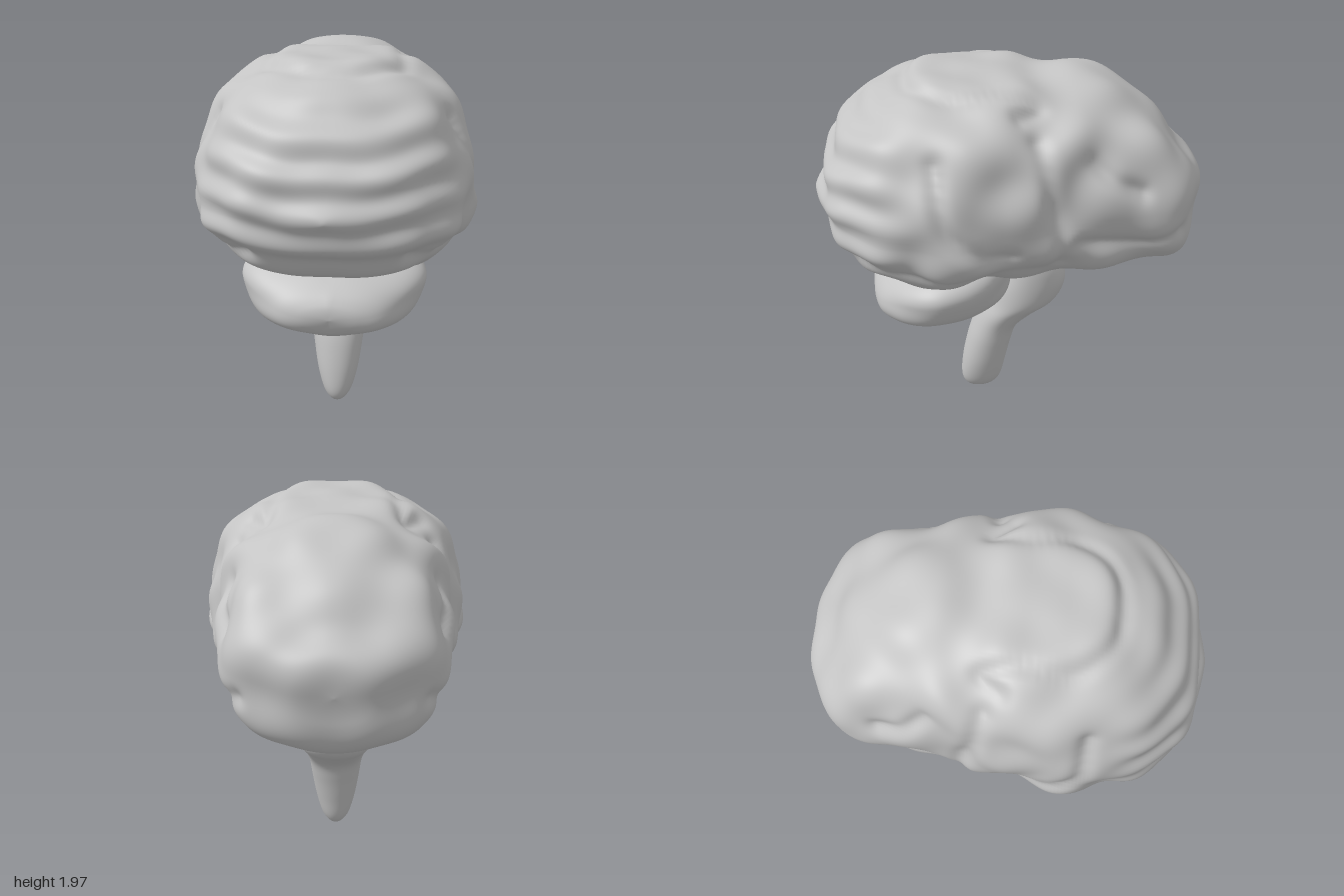
import * as THREE from 'three';
import { mergeVertices } from 'three/addons/utils/BufferGeometryUtils.js';

// Catmull-Rom blend of whole rows, so every column of a section table is smooth
function sampleRows(rows, t) {
  const f = t * (rows.length - 1);
  const i = Math.min(Math.floor(f), rows.length - 2);
  const k = f - i;
  const row = (n) => rows[Math.max(0, Math.min(rows.length - 1, n))];
  return rows[i].map((b, c) => {
    const a = row(i - 1)[c], d = row(i + 1)[c], e = row(i + 2)[c];
    return b + 0.5 * k * (d - a + k * (2 * a - 5 * b + 4 * d - e + k * (3 * (b - d) + e - a)));
  });
}

// Closed superellipse loft. Rows: [station, half width, high, low, widest level]
function loft(rows, rings, sides, power, place, bump) {
  const pos = [], index = [];
  const pow = (v) => Math.sign(v) * Math.abs(v) ** power;
  for (let i = 0; i <= rings; i++) {
    const [s, w, hi, lo, mid] = sampleRows(rows, i / rings);
    for (let j = 0; j < sides; j++) {
      const a = (j / sides) * Math.PI * 2;
      const up = pow(Math.sin(a));
      pos.push(...place(Math.max(w, 0) * pow(Math.cos(a)), mid + up * (up > 0 ? hi - mid : mid - lo), s));
      if (i === rings) continue;
      const p = i * sides + j, q = i * sides + ((j + 1) % sides);
      if (i < rings - 1) index.push(p + sides, q + sides, q);
      if (i > 0) index.push(p, p + sides, q);
    }
  }
  let geo = new THREE.BufferGeometry();
  geo.setAttribute('position', new THREE.Float32BufferAttribute(pos, 3));
  geo.setIndex(index);
  geo = mergeVertices(geo, 1e-5);
  geo.computeVertexNormals();
  if (bump) {
    const P = geo.attributes.position, N = geo.attributes.normal;
    const v = new THREE.Vector3(), n = new THREE.Vector3();
    for (let i = 0; i < P.count; i++) {
      v.fromBufferAttribute(P, i);
      n.fromBufferAttribute(N, i);
      v.addScaledVector(n, bump(v));
      P.setXYZ(i, v.x, v.y, v.z);
    }
    geo.computeVertexNormals();
  }
  return geo;
}

// Main furrows on one half; the other half mirrors them
const furrows = [
  [[0.42, 1.84, 0], [0.36, 1.88, -0.1], [0.31, 1.9, 0.05], [0.33, 1.9, 0.3], [0.26, 1.92, 0.43], [0.14, 1.93, 0.52], [0, 1.94, 0.54]],
  [[0.5, 1.75, -0.08], [0.61, 1.5, -0.14], [0.63, 1.3, -0.2], [0.58, 1.1, -0.2]],
  [[0.5, 1.64, -0.36], [0.56, 1.56, -0.46], [0.53, 1.48, -0.6]],
  [[0.58, 1.24, -0.3], [0.53, 1.18, -0.6], [0.45, 1.22, -0.82]],
  [[0.58, 1.7, 0.42], [0.7, 1.4, 0.37], [0.7, 1.25, 0.2], [0.67, 1.2, 0.05]],
  [[0.4, 1.1, 0.82], [0.6, 1.07, 0.5], [0.64, 1.05, 0.2], [0.58, 1.03, -0.1]],
].map((pts) => new THREE.CatmullRomCurve3(pts.map((p) => new THREE.Vector3(...p))).getPoints(36));

const half = new THREE.Vector3();
function folds(v) {
  const x = Math.sqrt(v.x * v.x + 0.012);
  // winding folds from a warped periodic field
  const k = 14;
  const a = k * (x + 0.05 * Math.sin(6 * v.y + 4 * v.z));
  const b = k * (v.y + 0.05 * Math.sin(7 * v.z + 3 * x));
  const c = k * (v.z + 0.05 * Math.sin(6 * x + 5 * v.y));
  const winding = Math.sin(a) * Math.cos(b) + Math.sin(b) * Math.cos(c) + Math.sin(c) * Math.cos(a);
  // level bands at the +z end
  const bands = Math.sin(37 * (v.y + 0.025 * Math.sin(9 * x)) + 0.8);
  const front = THREE.MathUtils.smoothstep(v.z, 0.45, 0.8);
  let d = THREE.MathUtils.lerp(0.014 * winding, 0.013 * bands + 0.005 * winding, front);
  // carved furrows
  half.set(Math.abs(v.x), v.y, v.z);
  for (const line of furrows) {
    let near = Infinity;
    for (const p of line) near = Math.min(near, p.distanceToSquared(half));
    d -= 0.028 * Math.exp(-near / 0.0022);
  }
  return d;
}

export function createModel() {
  const group = new THREE.Group();
  const grey = new THREE.MeshStandardMaterial({ color: 0xc4c4c4 });
  grey.name = 'soft grey';
  const add = (name, geo) => {
    const mesh = new THREE.Mesh(geo, grey);
    mesh.name = name;
    group.add(mesh);
  };
  const alongZ = (x, u, s) => [x, u, s];
  const alongY = (x, u, s) => [x, s, u];

  // Large folded upper body
  add('cerebrum', loft([
    [0.99, 0, 1.35, 1.35, 1.35],
    [0.96, 0.2, 1.46, 1.25, 1.35],
    [0.91, 0.38, 1.61, 1.15, 1.33],
    [0.83, 0.49, 1.73, 1.06, 1.32],
    [0.68, 0.605, 1.86, 0.96, 1.31],
    [0.48, 0.67, 1.95, 0.92, 1.3],
    [0.28, 0.705, 1.98, 0.93, 1.3],
    [0.08, 0.67, 1.98, 0.94, 1.32],
    [-0.12, 0.63, 1.95, 0.92, 1.34],
    [-0.32, 0.59, 1.94, 0.9, 1.34],
    [-0.52, 0.56, 1.88, 0.93, 1.34],
    [-0.68, 0.53, 1.79, 0.93, 1.34],
    [-0.82, 0.47, 1.65, 0.95, 1.33],
    [-0.91, 0.36, 1.53, 1.01, 1.3],
    [-0.97, 0.2, 1.43, 1.12, 1.28],
    [-0.99, 0, 1.28, 1.28, 1.28],
  ], 180, 200, 0.84, alongZ, folds));

  // Smaller lobed body below
  add('cerebellum', loft([
    [0.74, 0, 0.75, 0.75, 0.75],
    [0.725, 0.15, 0.82, 0.68, 0.76],
    [0.68, 0.28, 0.88, 0.635, 0.78],
    [0.57, 0.4, 0.94, 0.605, 0.81],
    [0.4, 0.475, 1.0, 0.63, 0.84],
    [0.2, 0.42, 1.05, 0.65, 0.86],
    [0.05, 0.28, 1.05, 0.7, 0.88],
    [-0.06, 0, 0.9, 0.9, 0.9],
  ], 60, 96, 0.86, alongZ,
  (v) => 0.008 * Math.sin(26 * v.y + 7 * Math.abs(v.x)) + 0.006 * Math.sin(14 * v.z) * Math.cos(12 * v.x)));

  // Tapering stem with the forward swelling near its top
  add('brainStem', loft([
    [0.005, 0, 0.17, 0.17, 0.17],
    [0.02, 0.04, 0.235, 0.1, 0.17],
    [0.08, 0.08, 0.27, 0.05, 0.16],
    [0.2, 0.112, 0.265, 0.02, 0.145],
    [0.35, 0.135, 0.235, -0.015, 0.11],
    [0.46, 0.15, 0.2, -0.055, 0.08],
    [0.55, 0.175, 0.165, -0.16, 0.03],
    [0.63, 0.2, 0.13, -0.27, -0.06],
    [0.73, 0.21, 0.1, -0.315, -0.11],
    [0.82, 0.21, 0.06, -0.3, -0.12],
    [0.9, 0.2, 0.04, -0.25, -0.11],
    [1.02, 0.18, 0.02, -0.2, -0.1],
    [1.06, 0, -0.1, -0.1, -0.1],
  ], 72, 64, 0.95, alongY));

  return group;
}
